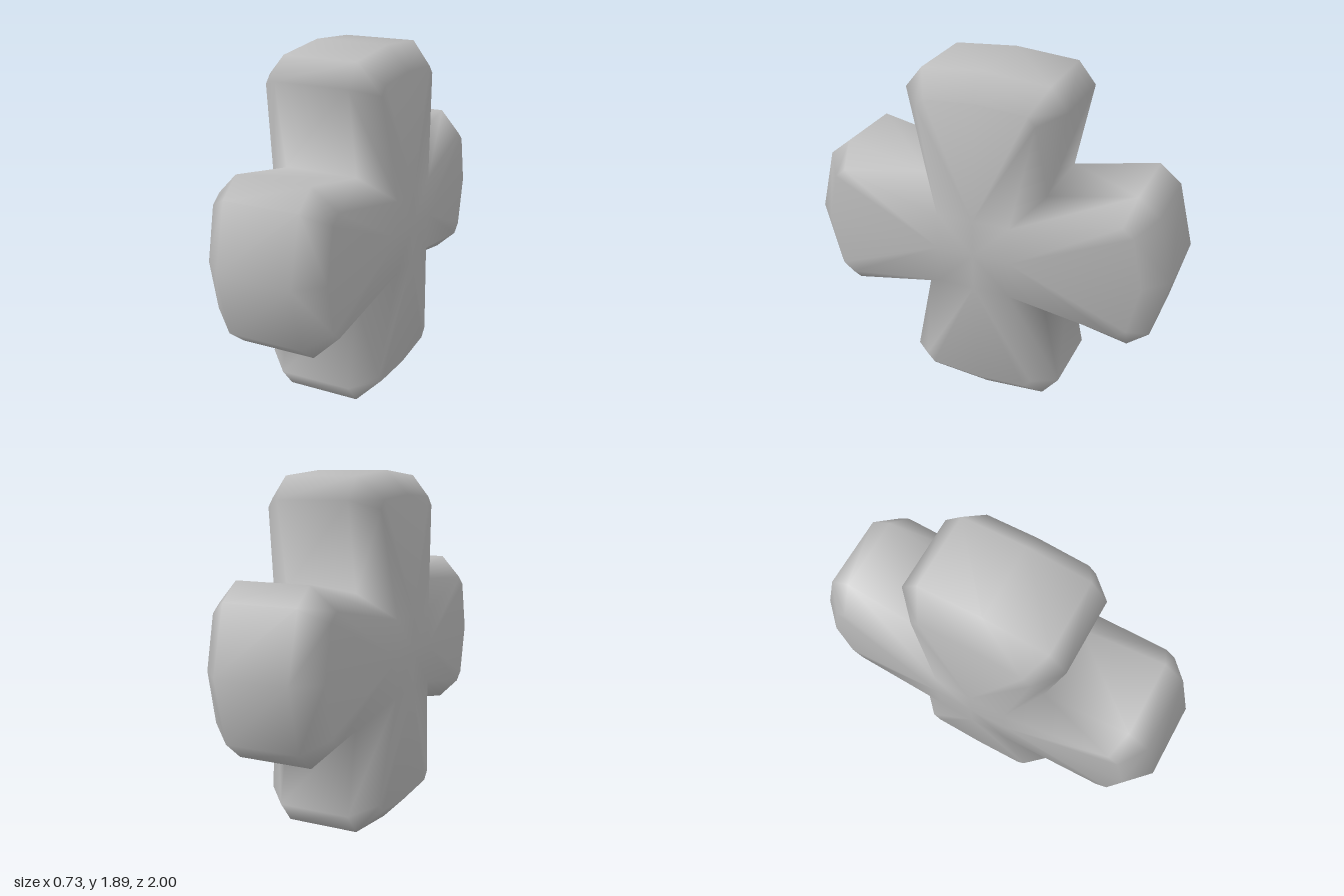
import * as THREE from 'three';

// Half arm profiles as [distance along arm, half width]: corner, shoulder, bevel, tip
const ARMS = {
  vertical: {
    outer: [[0.34, 0.34], [0.8, 0.433], [0.915, 0.34], [0.943, 0]],
    inset: [[0.2, 0.2], [0.755, 0.316], [0.8, 0.275], [0.82, 0]],
  },
  horizontal: {
    outer: [[0.34, 0.34], [0.8, 0.433], [0.915, 0.34], [1, 0]],
    inset: [[0.2, 0.2], [0.765, 0.316], [0.822, 0.27], [0.88, 0]],
  },
};
const CENTRE_Y = 0.943;

// Mirror a half profile into the six points an arm adds to the loop
function armPoints(half) {
  const [corner, a, b, tip] = half;
  const flip = ([r, t]) => [r, -t];
  return [flip(corner), flip(a), flip(b), tip, b, a];
}

function crossGeometry() {
  const positions = [];
  const index = [];
  const add = (x, y, z) => positions.push(x, y + CENTRE_Y, z) / 3 - 1;
  const N = 24;

  // Cross-shaped loop, turned a quarter for each arm
  const ring = (kind, side) => {
    const ids = [];
    for (let k = 0; k < 4; k++) {
      const c = [1, 0, -1, 0][k], s = [0, 1, 0, -1][k];
      const half = (k % 2 ? ARMS.horizontal : ARMS.vertical)[kind];
      armPoints(half).forEach(([r, t], i) => {
        const x = kind === 'outer' ? 0.2 : i === 0 ? 0.363 : 0.322;
        ids.push(add(side * x, r * c - t * s, r * s + t * c));
      });
    }
    return ids;
  };

  const outer = {};
  for (const side of [1, -1]) {
    const tri = (a, b, c) => (side > 0 ? index.push(a, b, c) : index.push(a, c, b));
    const out = (outer[side] = ring('outer', side));
    const ins = ring('inset', side);
    const centre = add(side * 0.367, 0, 0);
    const mids = [[0.2, 0], [0, 0.2], [-0.2, 0], [0, -0.2]].map(([y, z]) => add(side * 0.365, y, z));

    for (let i = 0; i < N; i++) {
      const j = (i + 1) % N;
      // Bevel, then the broad face of the arm
      tri(out[i], out[j], ins[j]);
      tri(out[i], ins[j], ins[i]);
      tri(mids[Math.floor(i / 6)], ins[i], ins[j]);
    }
    // Raised middle of the broad face
    for (let k = 0; k < 4; k++) {
      tri(centre, ins[k * 6], mids[k]);
      tri(centre, mids[k], ins[((k + 1) % 4) * 6]);
    }
  }

  // Rim joining the two sides
  for (let i = 0; i < N; i++) {
    const j = (i + 1) % N;
    index.push(outer[1][i], outer[-1][i], outer[-1][j]);
    index.push(outer[1][i], outer[-1][j], outer[1][j]);
  }

  const geometry = new THREE.BufferGeometry();
  geometry.setAttribute('position', new THREE.Float32BufferAttribute(positions, 3));
  geometry.setIndex(index);
  geometry.computeVertexNormals();
  return geometry;
}

export function createModel() {
  const group = new THREE.Group();
  group.name = 'flaredCross';
  const grey = new THREE.MeshStandardMaterial({ color: 0xbcbcbc });
  grey.name = 'grey';
  const cross = new THREE.Mesh(crossGeometry(), grey);
  cross.name = 'crossBody';
  group.add(cross);
  return group;
}
